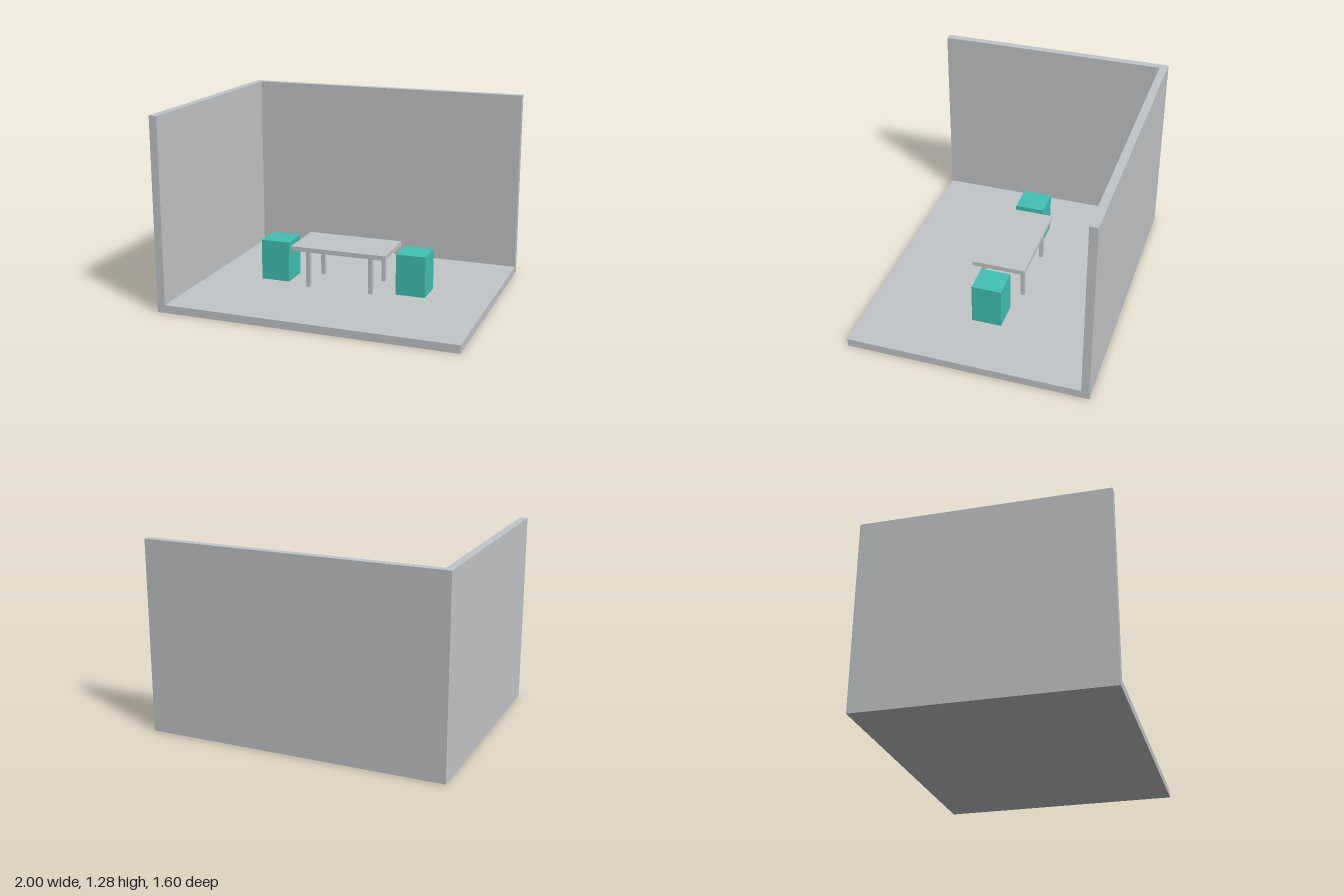
import * as THREE from 'three';

export function createModel() {
  const model = new THREE.Group();
  model.name = 'diningRoom';
  const grey = new THREE.MeshStandardMaterial({ color: 0xc3c6c8 });
  grey.name = 'lightGrey';
  const teal = new THREE.MeshStandardMaterial({ color: 0x41c2b4 });
  teal.name = 'teal';

  // Box given by its lower and upper corners
  function addBox(parent, name, material, [x0, y0, z0], [x1, y1, z1]) {
    const mesh = new THREE.Mesh(new THREE.BoxGeometry(x1 - x0, y1 - y0, z1 - z0), material);
    mesh.position.set((x0 + x1) / 2, (y0 + y1) / 2, (z0 + z1) / 2);
    mesh.name = name;
    parent.add(mesh);
  }

  // Room shell: floor and two walls meeting in the back corner
  const floorY = 0.053, height = 1.28, wall = 0.053;
  const room = new THREE.Group();
  room.name = 'room';
  addBox(room, 'floor', grey, [-1, 0, -0.8], [1, floorY, 0.8]);
  addBox(room, 'backWall', grey, [-1, floorY, -0.8], [1, height, -0.8 + wall]);
  addBox(room, 'sideWall', grey, [-1, floorY, -0.8 + wall], [-1 + wall, height, 0.8]);
  model.add(room);

  // Table with four square legs
  const table = new THREE.Group();
  table.name = 'table';
  const topY = 0.303, legX = 0.22, legZ = 0.138, half = 0.0135;
  addBox(table, 'tableTop', grey, [-0.33, topY, -0.18], [0.33, 0.334, 0.18]);
  for (const sx of [-1, 1]) {
    for (const sz of [-1, 1]) {
      const x = sx * legX, z = sz * legZ;
      addBox(table, 'tableLeg', grey, [x - half, floorY, z - half], [x + half, topY, z + half]);
    }
  }
  model.add(table);

  // Block stools at both ends of the table
  for (const [name, x] of [['rightStool', -0.48], ['leftStool', 0.48]]) {
    addBox(model, name, teal, [x - 0.1, floorY, -0.1], [x + 0.1, 0.33, 0.1]);
  }
  return model;
}
